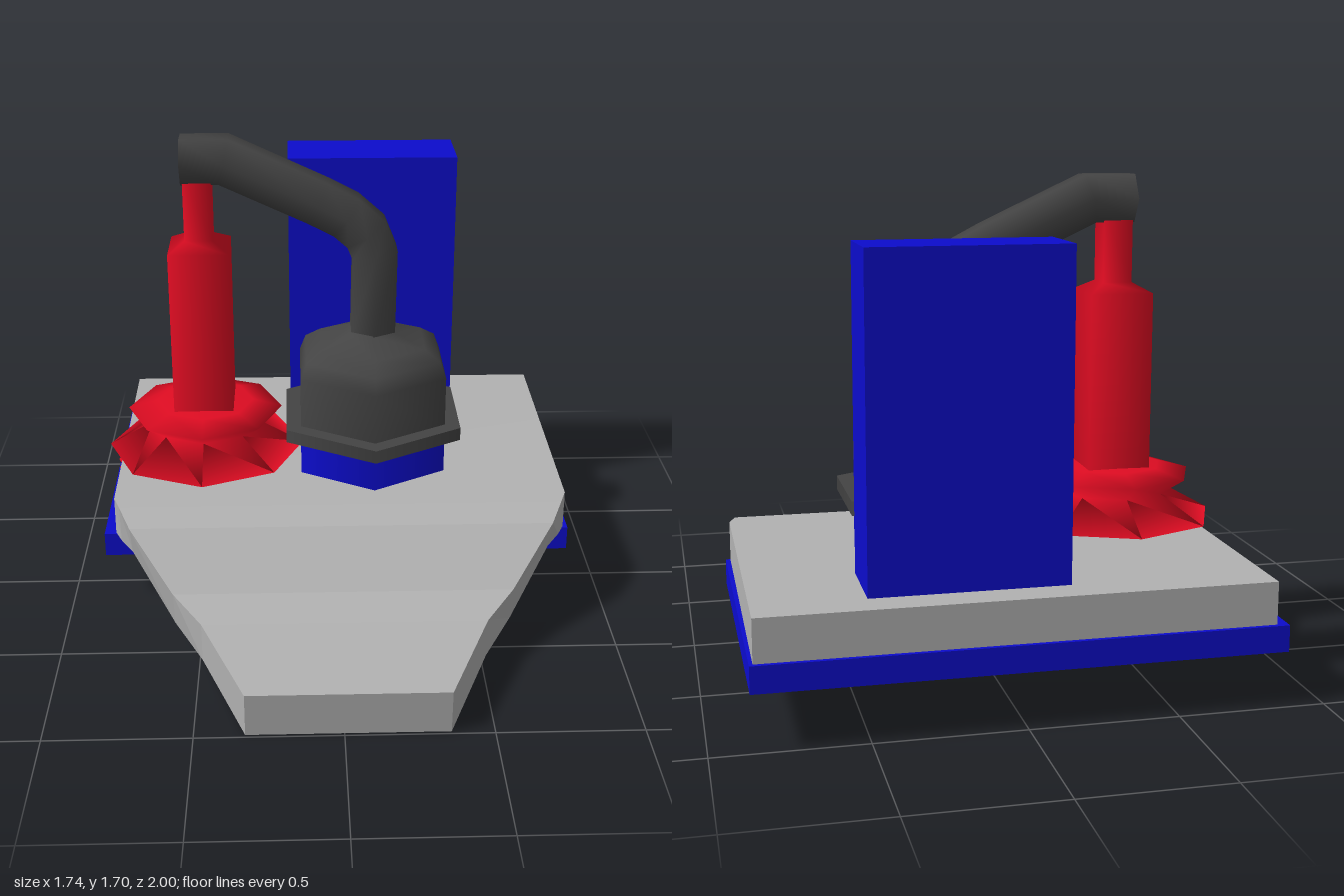
import * as THREE from 'three';
import { toCreasedNormals } from 'three/addons/utils/BufferGeometryUtils.js';

// Skin a run of equal-length rings (counter-clockwise seen from the far end) and cap both ends.
function loft(rings, crease) {
  const n = rings[0].length, last = (rings.length - 1) * n, index = [];
  for (let r = 0; r < rings.length - 1; r++) {
    for (let i = 0; i < n; i++) {
      const a = r * n + i, b = r * n + (i + 1) % n;
      index.push(a, b, b + n, a, b + n, a + n);
    }
  }
  for (let i = 1; i < n - 1; i++) index.push(0, i + 1, i, last, last + i, last + i + 1);
  const geo = new THREE.BufferGeometry();
  geo.setAttribute('position', new THREE.Float32BufferAttribute(rings.flat(2), 3));
  geo.setIndex(index);
  return toCreasedNormals(geo, crease);
}

function lathe(profile, sides) {
  return new THREE.LatheGeometry(profile.map(([r, y]) => new THREE.Vector2(r, y)), sides);
}

// Hexagonal pipe with mitred bends along a path in the xy plane.
function hexPipe(path, radius) {
  const pts = path.map(([x, y]) => new THREE.Vector2(x, y));
  const rings = pts.map((p, i) => {
    const before = p.clone().sub(pts[Math.max(i - 1, 0)]).normalize();
    const after = pts[Math.min(i + 1, pts.length - 1)].clone().sub(p).normalize();
    const t = before.clone().add(after).normalize();
    const mitre = 1 / t.dot(i ? before : after);
    return Array.from({ length: 6 }, (_, k) => {
      const angle = Math.PI / 6 + k * Math.PI / 3;
      const u = Math.cos(angle) * radius * mitre;
      return [p.x - t.y * u, p.y + t.x * u, Math.sin(angle) * radius];
    });
  });
  return loft(rings, 1.2);
}

export function createModel() {
  const model = new THREE.Group();
  const make = (name, color) => {
    const m = new THREE.MeshStandardMaterial({ color });
    m.name = name;
    return m;
  };
  const grey = make('light grey', 0xb2b2b2);
  const blue = make('blue', 0x0c0ccc);
  const red = make('red', 0xe00c22);
  const dark = make('dark grey', 0x444444);

  const add = (name, geo, mat, x = 0, y = 0, z = 0) => {
    const mesh = new THREE.Mesh(geo, mat);
    mesh.name = name;
    mesh.position.set(x, y, z);
    model.add(mesh);
    return mesh;
  };

  // Platform with a drooping, narrowing front lip: [half width, top z, top y, bottom z, bottom y]
  const sections = [
    [0.845, -0.985, 0.425, -0.985, 0.28],
    [0.84, 0.12, 0.425, 0.12, 0.28],
    [0.815, 0.19, 0.423, 0.17, 0.275],
    [0.77, 0.29, 0.39, 0.22, 0.255],
    [0.605, 0.49, 0.235, 0.44, 0.085],
    [0.5, 0.625, 0.195, 0.61, 0.04],
    [0.342, 1, 0.163, 0.988, 0]
  ];
  add('platform', loft(sections.map(([w, tz, ty, bz, by]) =>
    [[-w, by, bz], [w, by, bz], [w, ty, tz], [-w, ty, tz]]), 0.05), grey, 0.013);

  // Base plate and upright panel
  add('basePlate', new THREE.BoxGeometry(1.74, 0.09, 1.13), blue, 0, 0.235, -0.435);
  add('backPanel', new THREE.BoxGeometry(0.66, 1.09, 0.27), blue, 0.16, 0.97, -0.74);

  // Hexagonal pot: blue foot, dark rimmed dome
  const potX = 0.143, midZ = -0.23;
  add('potFoot', new THREE.CylinderGeometry(0.315, 0.315, 0.16, 6), blue, potX, 0.5, midZ);
  add('potRim', new THREE.CylinderGeometry(0.38, 0.38, 0.05, 6), dark, potX, 0.595, midZ);
  add('potDome', lathe([[0.315, 0.6], [0.315, 0.81], [0.29, 0.87], [0.225, 0.91],
    [0.095, 0.955], [0.09, 1]], 6), dark, potX, 0, midZ);

  // Bent pipe from the dome across to the plunger
  add('pipe', hexPipe([[0.145, 0.94], [0.15, 1.26], [0.118, 1.34], [0.045, 1.405],
    [-0.06, 1.46], [-0.4, 1.618], [-0.557, 1.618]], 0.096), dark, 0, 0, midZ);

  // Square plunger column stepping in to a thin shaft
  const plungerX = -0.498, d = Math.SQRT2;
  const column = add('plungerColumn', lathe([[0.112 * d, 0.62], [0.112 * d, 1.29],
    [0.052 * d, 1.325], [0.052 * d, 1.58]], 4), red, plungerX, 0, midZ);
  column.rotation.y = Math.PI / 4;

  // Octagonal flared skirt, and bellows sunk into the platform beneath it
  add('plungerSkirt', lathe([[0, 0.48], [0.375, 0.48], [0.205, 0.575], [0.295, 0.635],
    [0.185, 0.665], [0, 0.67]], 8), red, plungerX, 0, midZ);
  const folds = [[0, 0.29]];
  for (let i = 0; i < 4; i++) folds.push([0.29, 0.29 + i * 0.036], [0.347, 0.305 + i * 0.036]);
  folds.push([0, 0.42]);
  add('sunkenBellows', lathe(folds, 8), red, plungerX, 0, midZ);

  return model;
}
